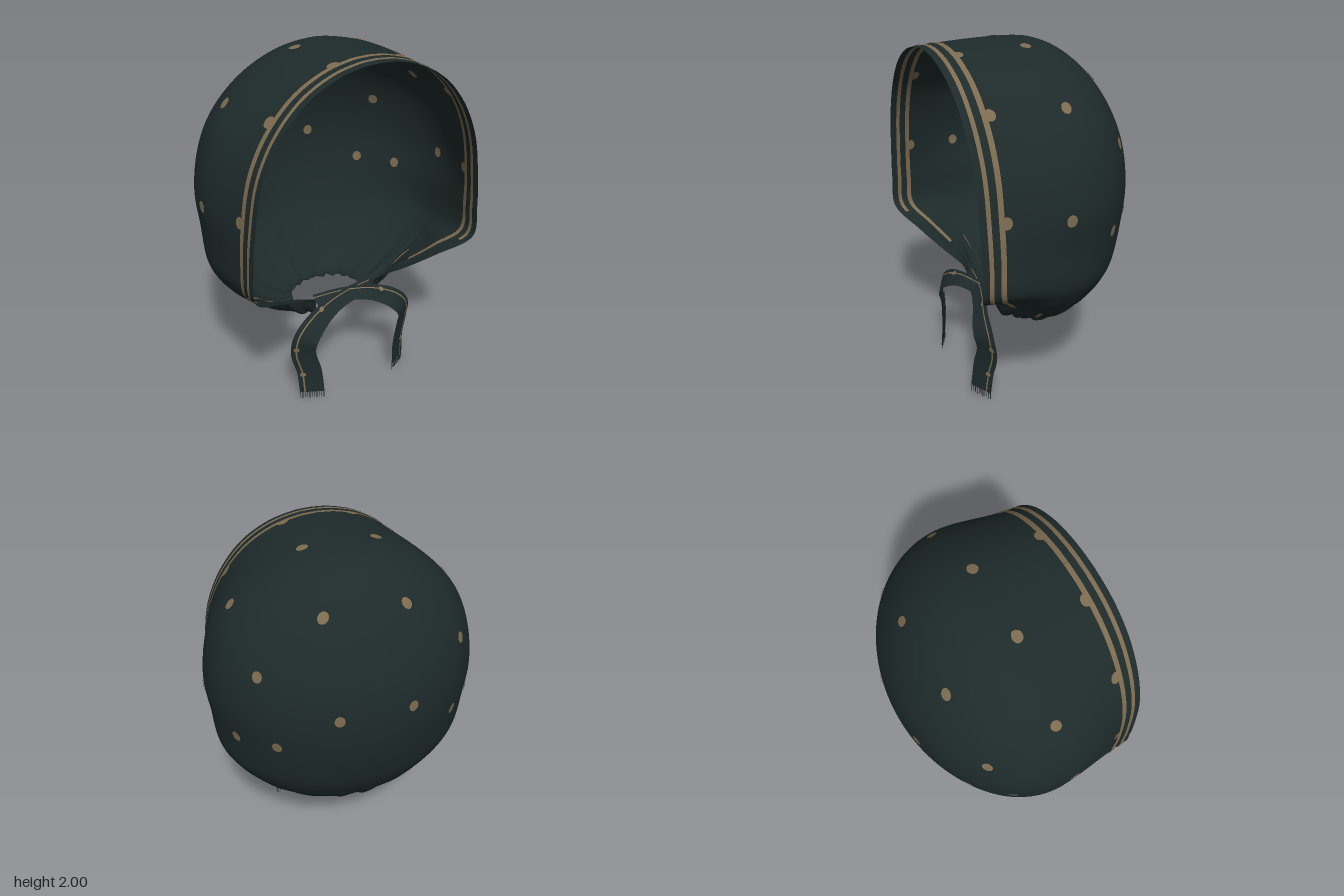
import * as THREE from 'three';

const cloth = new THREE.MeshStandardMaterial({ color: 0x1e2a2a, side: THREE.DoubleSide });
cloth.name = 'dark green cloth';
const tan = new THREE.MeshStandardMaterial({ color: 0x7c6b50, side: THREE.DoubleSide });
tan.name = 'tan print';

const V = (x, y, z) => new THREE.Vector3(x, y, z);
const clamp = THREE.MathUtils.clamp;

// Horizontal sections, neck to crown: y, half width, rim half width, rim z, widest z, back z
const rows = [
  [0.455, 0.22, 0.14, 0.20, 0.03, -0.13], [0.44, 0.31, 0.17, 0.21, 0.03, -0.20],
  [0.50, 0.43, 0.19, 0.24, 0.04, -0.285], [0.59, 0.55, 0.22, 0.27, 0.05, -0.365],
  [0.66, 0.62, 0.38, 0.35, 0.06, -0.41], [0.75, 0.69, 0.53, 0.44, 0.07, -0.46],
  [0.86, 0.742, 0.70, 0.535, 0.08, -0.50], [1.05, 0.758, 0.71, 0.54, 0.08, -0.54],
  [1.25, 0.775, 0.69, 0.54, 0.08, -0.553], [1.45, 0.745, 0.655, 0.54, 0.08, -0.53],
  [1.62, 0.68, 0.59, 0.542, 0.08, -0.47], [1.76, 0.57, 0.50, 0.545, 0.07, -0.39],
  [1.87, 0.435, 0.39, 0.548, 0.06, -0.295], [1.95, 0.28, 0.25, 0.55, 0.05, -0.185],
  [1.99, 0.12, 0.11, 0.55, 0.05, -0.08], [2.0, 0, 0, 0.55, 0.05, 0.0],
];
const sizes = new THREE.CatmullRomCurve3(rows.map(r => V(r[0], r[1], r[2])), false, 'catmullrom');
const depths = new THREE.CatmullRomCurve3(rows.map(r => V(r[3], r[4], r[5])), false, 'catmullrom');
const BACK = 0.6; // share of each section that is the rounded back

// Point on the bonnet: s runs rim to rim (-1..1) round the back, t from neck to crown (0..1)
function surface(s, t) {
  const { x: y, y: w, z: wf } = sizes.getPoint(t);
  const { x: zf, y: zc, z: zb } = depths.getPoint(t);
  const side = Math.sign(s), a = Math.abs(s), p = V(0, y, 0);
  if (a < BACK) {
    const angle = (s / BACK) * Math.PI / 2;
    p.x = w * Math.sin(angle);
    p.z = zc - (zc - zb) * Math.cos(angle);
  } else {
    const f = (a - BACK) / (1 - BACK), k = clamp((y - 0.7) / 0.2, 0, 1);
    const ease = (1 - k) * f * f + k * f * f * (3 - 2 * f);
    p.x = side * (w + (wf - w) * ease);
    p.z = zc + (zf - zc) * f;
    p.y -= 0.025 * f * f * clamp((y - 1.5) / 0.5, 0, 1);
  }
  // gathers that deepen toward the neck
  const g = Math.max(0, (0.85 - y) / 0.4) ** 2 * 0.02;
  const wave = Math.sin(s * 61) + 0.5 * Math.sin(s * 97 + 1);
  p.x *= 1 + g * wave;
  p.z += g * 0.3 * wave;
  p.y += g * 0.35 * Math.sin(s * 45);
  return p;
}

// Position, outward normal and stretch of the cloth
function frame(s, t) {
  const e = 0.004;
  const s0 = Math.max(-1, s - e), s1 = Math.min(1, s + e);
  const t0 = clamp(t - e, 0, 0.994), t1 = clamp(t + e, 0.002, 0.998);
  const ds = surface(s1, clamp(t, 0, 0.996)).sub(surface(s0, clamp(t, 0, 0.996))).divideScalar(s1 - s0);
  const dt = surface(s, t1).sub(surface(s, t0)).divideScalar(t1 - t0);
  const n = ds.clone().cross(dt).normalize();
  const p = surface(s, t);
  if (n.dot(p.clone().sub(V(0, 1.2, 0))) < 0) n.negate();
  return { p, n, ds: ds.length(), dt: dt.length() };
}
const raised = (s, t, lift) => { const f = frame(s, t); return f.p.addScaledVector(f.n, lift); };

// Sheet of nu by nv cells through fn(u, v)
function sheet(nu, nv, fn) {
  const pos = [], index = [];
  for (let j = 0; j <= nv; j++) for (let i = 0; i <= nu; i++) pos.push(...fn(i / nu, j / nv).toArray());
  for (let j = 0; j < nv; j++) for (let i = 0; i < nu; i++) {
    const a = j * (nu + 1) + i, b = a + nu + 1;
    index.push(a, b, a + 1, a + 1, b, b + 1);
  }
  const g = new THREE.BufferGeometry();
  g.setAttribute('position', new THREE.Float32BufferAttribute(pos, 3));
  g.setIndex(index);
  g.computeVertexNormals();
  return g;
}

// Nearest surface parameters to a point
function locate(target) {
  let best = [0, 0.5], d = Infinity;
  for (let i = 0; i <= 140; i++) for (let j = 2; j < 140; j++) {
    const s = -1 + i / 70, t = j / 140, q = surface(s, t).distanceToSquared(target);
    if (q < d) { d = q; best = [s, t]; }
  }
  return best;
}

// Oval patch of print, walked outward over the cloth in short steps
function dot(s, t, lift, rs = 0.028, rt = 0.032) {
  return sheet(16, 2, (u, v) => {
    const a = u * Math.PI * 2, steps = 3;
    let ps = s, pt = t;
    for (let i = 0; i < steps; i++) {
      const f = frame(ps, pt);
      ps = clamp(ps + rs * v * Math.cos(a) / f.ds / steps, -1, 1);
      pt = clamp(pt + rt * v * Math.sin(a) / f.dt / steps, 0, 0.995);
    }
    return raised(ps, pt, lift);
  });
}

// Stripe lying between distances d0 and d1 from the rim
function stripe(side, d0, d1, tStart, lift) {
  return sheet(2, 110, (u, v) => {
    const t = tStart + (1 - tStart) * v, d = d0 + (d1 - d0) * u;
    const length = surface(side, t).distanceTo(surface(side * BACK, t));
    return raised(side * (1 - (1 - BACK) * d / length), t, lift);
  });
}

export function createModel() {
  const model = new THREE.Group();
  model.name = 'bonnet';
  const add = (name, geometry, material, parent = model) => {
    const m = new THREE.Mesh(geometry, material);
    m.name = name;
    parent.add(m);
    return m;
  };

  add('bonnetShell', sheet(170, 110, (u, v) => surface(1 - 2 * u, v)), cloth);

  // Printed stripes and dots show on both faces of the cloth
  const spots = [
    [0.2, 1.98, 0.05], [0.59, 1.74, 0.04], [0.215, 1.79, -0.34], [0.56, 1.52, -0.32],
    [0.775, 1.24, 0.1], [0.69, 1.09, -0.22], [0.49, 1.1, -0.4], [0.205, 1.29, -0.53],
    [0.19, 1.96, 0.42], [0.55, 1.74, 0.42], [0.72, 1.25, 0.42],
  ];
  for (const side of [-1, 1]) {
    const [foldS, foldT] = locate(V(side * 0.52, 0.56, 0.14));
    for (const lift of [0.004, -0.004]) {
      add('rimStripe', stripe(side, 0.036, 0.059, 0.38, lift), tan);
      add('innerStripe', stripe(side, 0.096, 0.124, 0.25, lift), tan);
      add('foldStreak', dot(foldS, foldT, lift, 0.012, 0.075), tan);
    }
    for (const [x, y, z] of spots) {
      const [s, t] = locate(V(side * x, y, z));
      for (const lift of [0.005, -0.005]) add('dot', dot(s, t, lift), tan);
    }
  }

  // Crossed ties: flat ribbons with a printed line, dots and a fringed end
  for (const side of [-1, 1]) {
    const tie = new THREE.Group();
    tie.name = side > 0 ? 'leftTie' : 'rightTie';
    model.add(tie);
    const lag = side > 0 ? 0 : 0.012;
    const path = new THREE.CatmullRomCurve3([
      [-0.19, 0.545, 0.24], [-0.02, 0.56, 0.275 + lag], [0.14, 0.545, 0.32 + lag], [0.27, 0.49, 0.37],
      [0.34, 0.41, 0.38], [0.345, 0.31, 0.365], [0.315, 0.19, 0.375], [0.305, 0.045, 0.39],
    ].map(([x, y, z]) => V(side * x, y, z)));
    // across runs -1 (inner edge) to 1 (outer edge)
    const ribbon = (v, across, lift = 0) => {
      const p = path.getPointAt(v), T = path.getTangentAt(v);
      const half = 0.027 + 0.036 * THREE.MathUtils.smoothstep(v, 0.2, 0.65);
      const out = V(-T.y * side, T.x * side, 0).normalize().multiplyScalar(half);
      out.z = -0.035;
      const n = T.clone().cross(out).normalize();
      if (n.z < 0) n.negate();
      return p.addScaledVector(out, across).addScaledVector(n, lift);
    };
    add('tieRibbon', sheet(4, 50, (u, v) => ribbon(v, u * 2 - 1)), cloth, tie);
    for (const lift of [0.004, -0.004]) {
      add('tieLine', sheet(1, 50, (u, v) => ribbon(v, 0.5 + 0.13 * u, lift)), tan, tie);
      for (const at of [0.42, 0.68, 0.87]) {
        add('tieDot', sheet(10, 1, (u, v) => ribbon(at + 0.016 * v * Math.sin(u * 2 * Math.PI),
          0.55 + 0.25 * v * Math.cos(u * 2 * Math.PI), lift * 1.2)), tan, tie);
      }
    }
    for (let i = 0; i < 11; i++) {
      const length = 0.036 + 0.008 * (i % 3 === 0);
      const thread = add('fringe', new THREE.BoxGeometry(0.003, length, 0.003), cloth, tie);
      thread.position.copy(ribbon(1, -0.95 + 0.19 * i));
      thread.position.y -= length / 2;
    }
  }
  return model;
}
